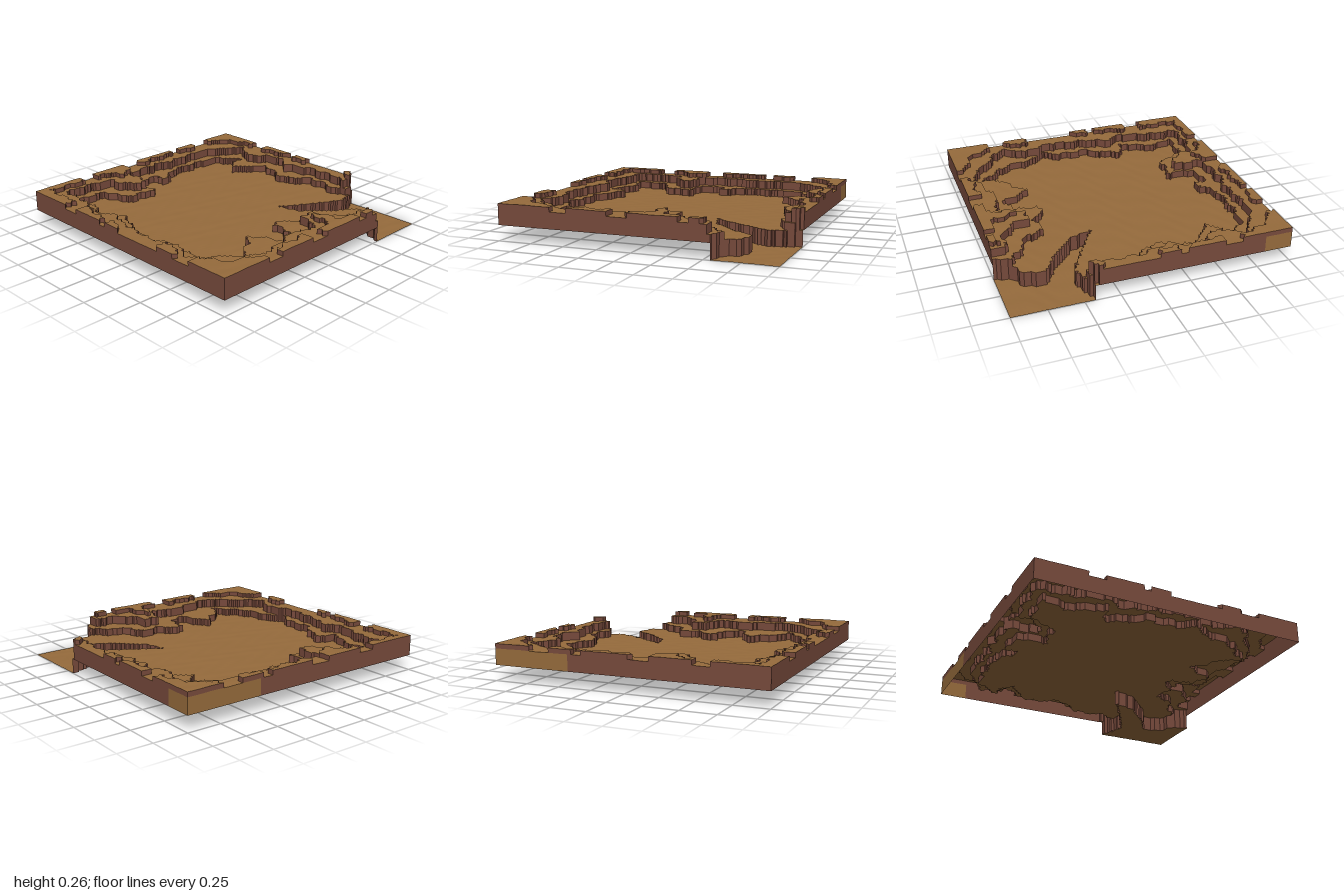
import * as THREE from 'three';

const N = 80, FLOOR = 0.112;
const LEVELS = [0, FLOOR, 0.165, 0.228, 0.262];

// Outlines of each sunken level, deepest first
const ravine = [[0.34, 0.24], [0.6, 0.4], [0.78, 0.5], [0.9, 0.46], [1.02, 0.41], [1.02, 1.02], [0.53, 1.02],
  [0.6, 0.87], [0.7, 0.83], [0.73, 0.68], [0.6, 0.6], [0.5, 0.5], [0.38, 0.4]];
const basin = [[-0.78, -0.85], [-0.5, -0.82], [-0.45, -0.68], [-0.38, -0.61], [-0.2, -0.6], [-0.18, -0.8],
  [0, -0.82], [0.03, -0.72], [0.1, -0.75], [0.22, -0.83], [0.5, -0.82], [0.68, -0.78], [0.82, -0.62],
  [0.7, -0.6], [0.62, -0.54], [0.75, -0.42], [0.81, -0.35], [0.8, -0.24], [0.73, -0.15], [0.75, -0.03],
  [0.87, 0.1], [0.86, 0.25], [0.83, 0.4], [0.9, 0.45], [1.02, 0.41], [1.02, 1.02], [0.57, 1.02], [0.6, 0.88],
  [0.52, 0.8], [0.42, 0.77], [0.33, 0.68], [0.3, 0.56], [0.15, 0.6], [0.05, 0.52], [-0.03, 0.52],
  [-0.05, 0.7], [-0.2, 0.74], [-0.25, 0.62], [-0.32, 0.53], [-0.4, 0.63], [-0.52, 0.67], [-0.56, 0.84],
  [-0.65, 0.7], [-0.78, 0.5], [-0.78, 0.35], [-0.88, 0.27], [-0.8, 0.05], [-0.82, -0.1], [-0.72, -0.25],
  [-0.68, -0.36], [-0.82, -0.42], [-0.75, -0.55], [-0.72, -0.7]];
const lowTerrace = [[-0.8, -0.9], [-0.55, -0.9], [-0.4, -0.86], [-0.38, -0.75], [-0.3, -0.65], [-0.22, -0.68],
  [-0.2, -0.88], [0.1, -0.9], [0.2, -0.87], [0.6, -0.88], [0.72, -0.83], [0.9, -0.7], [0.84, -0.6],
  [0.78, -0.54], [0.88, -0.42], [0.92, -0.3], [0.85, -0.15], [0.88, 0], [0.92, 0.1], [0.91, 0.3],
  [0.88, 0.42], [1.02, 0.42], [1.02, 1.02], [0.55, 1.02], [0.5, 0.9], [0.36, 0.88], [0.25, 0.8], [0.2, 0.65],
  [0.1, 0.66], [0.07, 0.8], [-0.02, 0.85], [-0.15, 0.78], [-0.3, 0.84], [-0.55, 0.9], [-0.7, 0.76],
  [-0.85, 0.65], [-0.92, 0.55], [-0.82, 0.4], [-0.9, 0.2], [-0.88, 0], [-0.86, -0.15], [-0.8, -0.28],
  [-0.88, -0.45], [-0.82, -0.6], [-0.8, -0.75]];
const highTerrace = [[-0.92, -0.93], [-0.4, -0.94], [-0.3, -0.85], [-0.2, -0.86], [-0.17, -0.94], [0.3, -0.95],
  [0.76, -0.93], [0.88, -0.86], [0.95, -0.68], [0.94, -0.45], [0.95, -0.28], [0.93, -0.04], [0.95, 0.3],
  [0.92, 0.42], [1.02, 0.42], [1.02, 1.02], [0.5, 1.02], [0.48, 0.95], [0.3, 0.93], [0.2, 0.9], [0.16, 0.72],
  [0.13, 0.72], [0.1, 0.9], [-0.03, 0.94], [-0.2, 0.92], [-0.46, 0.93], [-0.65, 0.93], [-0.8, 0.86],
  [-0.9, 0.7], [-0.96, 0.5], [-0.9, 0.4], [-0.95, 0.1], [-0.95, -0.28], [-0.92, -0.45], [-0.9, -0.68]];
const outlines = [ravine, basin, lowTerrace, highTerrace];

// Gaps where the rim drops to the high terrace
const gapsX = [[-0.17, -0.04], [0.32, 0.4], [0.57, 0.74], [-0.6, -0.48]];
const gapsZ = [[0.54, 0.68], [-0.04, 0.36], [-0.24, -0.16], [-0.64, -0.5]];

function inside(poly, x, z) {
  let hit = false;
  poly.forEach(([x1, z1], i) => {
    const [x2, z2] = poly[(i + 1) % poly.length];
    if ((z1 > z) !== (z2 > z) && x < x1 + (x2 - x1) * (z - z1) / (z2 - z1)) hit = !hit;
  });
  return hit;
}

function levelAt(x, z) {
  const wx = x + 0.014 * Math.sin(z * 41 + x * 9), wz = z + 0.014 * Math.sin(x * 37 - z * 11);
  const k = outlines.findIndex((p, i) => (i ? inside(p, wx, wz) : inside(p, x, z)));
  if (k >= 0) return k;
  const within = (list, v) => list.some(([a, b]) => v > a && v < b);
  if (Math.abs(z) > 0.86 && Math.abs(x) < 0.9 && within(gapsX, x)) return 3;
  if (Math.abs(x) > 0.86 && Math.abs(z) < 0.9 && within(gapsZ, z)) return 3;
  return 4;
}

// Slight unevenness of the ground
const ripple = (x, z) => 0.0015 * (1 + Math.sin(x * 23 + 2 * Math.sin(z * 17)) * Math.sin(z * 29 + x * 7));

function meshFrom(name, points, color) {
  const geo = new THREE.BufferGeometry();
  geo.setAttribute('position', new THREE.Float32BufferAttribute(points, 3));
  geo.computeVertexNormals();
  const mesh = new THREE.Mesh(geo, new THREE.MeshStandardMaterial({ color, side: THREE.DoubleSide }));
  mesh.name = name;
  return mesh;
}

export function createModel() {
  const ground = [], cliffs = [], skirt = [], corner = [];
  const at = i => -1 + 2 * i / N;
  const tris = [], edges = new Map();

  // Split the square into triangles, each lying on one level
  for (let i = 0; i < N; i++) for (let j = 0; j < N; j++) {
    const a = [i, j], b = [i + 1, j], c = [i + 1, j + 1], d = [i, j + 1];
    const pair = (i + j) % 2 ? [[a, d, c], [a, c, b]] : [[a, d, b], [b, d, c]];
    for (const v of pair) {
      const cx = (at(v[0][0]) + at(v[1][0]) + at(v[2][0])) / 3;
      const cz = (at(v[0][1]) + at(v[1][1]) + at(v[2][1])) / 3;
      const tri = { v, level: levelAt(cx, cz) };
      tris.push(tri);
      v.forEach((p, k) => edges.set(`${p}|${v[(k + 1) % 3]}`, tri));
    }
  }

  const quad = (out, p, q, lowP, lowQ, highP, highQ) => {
    const [x1, z1, x2, z2] = [at(p[0]), at(p[1]), at(q[0]), at(q[1])];
    out.push(x1, lowP, z1, x2, lowQ, z2, x2, highQ, z2, x1, lowP, z1, x2, highQ, z2, x1, highP, z1);
  };

  for (const { v, level } of tris) {
    const y = (p, k = level) => LEVELS[k] + ripple(at(p[0]), at(p[1]));
    for (const p of v) ground.push(at(p[0]), y(p), at(p[1]));
    v.forEach((p, k) => {
      const q = v[(k + 1) % 3], next = edges.get(`${q}|${p}`);
      if (next) {
        // Cliff bands, one for every level stepped over
        for (let n = next.level; n < level; n++) quad(cliffs, p, q, y(p, n), y(q, n), y(p, n + 1), y(q, n + 1));
      } else if (level > 1) {
        // Outer sides, with an earth-coloured patch around one corner
        const mx = (at(p[0]) + at(q[0])) / 2, mz = (at(p[1]) + at(q[1])) / 2;
        const patch = (mz < -0.99 && mx > 0.42) || (mx > 0.99 && mz < -0.8);
        if (patch) {
          const m = Math.min(level, 3);
          quad(corner, p, q, FLOOR, FLOOR, y(p, m), y(q, m));
          if (level > m) quad(skirt, p, q, y(p, m), y(q, m), y(p), y(q));
        } else quad(skirt, p, q, FLOOR, FLOOR, y(p), y(q));
      }
    });
  }

  const group = new THREE.Group();
  group.name = 'terracedTerrain';
  group.add(
    meshFrom('ground', ground, 0x966b3c),
    meshFrom('cliffs', cliffs, 0x774a3c),
    meshFrom('outerSides', skirt, 0x774a3c),
    meshFrom('cornerPatch', corner, 0x966b3c),
  );
  return group;
}
